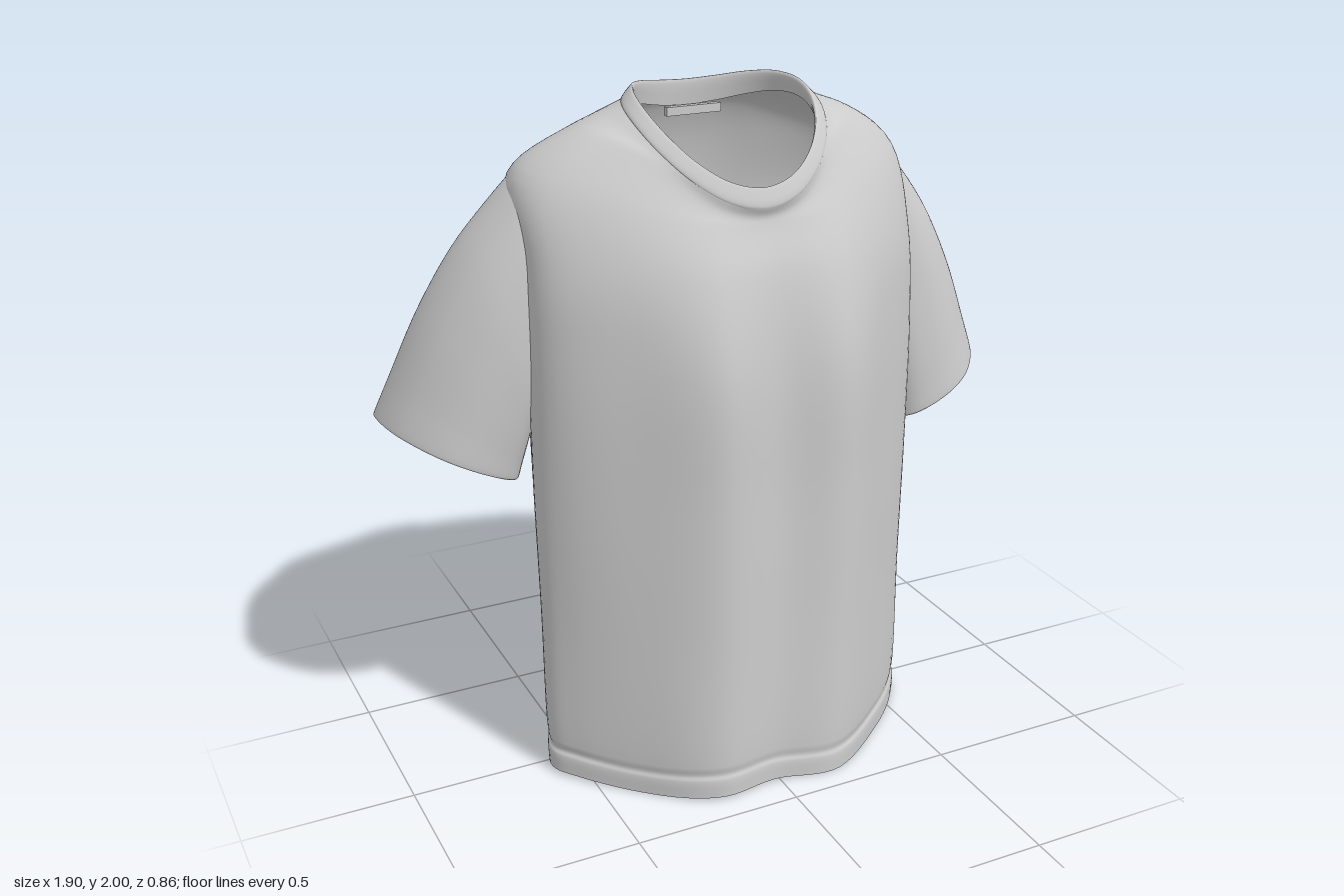
import * as THREE from 'three';

const V = (x, y, z) => new THREE.Vector3(x, y, z);
const fabric = new THREE.MeshStandardMaterial({ color: 0xcccccc, side: THREE.DoubleSide });

// Smooth skin through closed rings that all have the same number of points;
// faces whose first corner lies in the opening are left out
function loft(name, rings, around, perSpan, shape = (p) => p, opening = () => false) {
  const curves = rings.map((r) => new THREE.CatmullRomCurve3(r, true));
  const rows = (rings.length - 1) * perSpan + 1;
  const points = [];
  const index = [];
  for (let i = 0; i < around; i++) {
    const column = new THREE.CatmullRomCurve3(curves.map((c) => c.getPoint(i / around)));
    for (let j = 0; j < rows; j++) points[j * around + i] = shape(column.getPoint(j / (rows - 1)));
  }
  for (let j = 0; j < rows - 1; j++) {
    for (let i = 0; i < around; i++) {
      const a = j * around + i, b = j * around + (i + 1) % around;
      if (!opening(points[a])) index.push(a, b, b + around, a, b + around, a + around);
    }
  }
  const geo = new THREE.BufferGeometry().setFromPoints(points);
  geo.setIndex(index);
  geo.computeVertexNormals();
  const mesh = new THREE.Mesh(geo, fabric);
  mesh.name = name;
  return mesh;
}

// Half ring (front centre to back centre) mirrored into a full ring
function mirrorRing(half) {
  const other = half.slice(1, -1).reverse().map((p) => V(-p.x, p.y, p.z));
  return [...half, ...other];
}

// Torso outlines [x, z] and the shaped rings [x, y, z] above them
const hem = [[0, 0.4], [0.19, 0.425], [0.4, 0.275], [0.535, 0.145], [0.588, 0.055],
  [0.545, -0.08], [0.485, -0.21], [0.405, -0.325], [0.21, -0.362], [0, -0.342]];
const waist = [[0, 0.37], [0.19, 0.4], [0.4, 0.265], [0.555, 0.13], [0.59, 0.04],
  [0.56, -0.1], [0.52, -0.22], [0.455, -0.33], [0.215, -0.368], [0, -0.347]];
const chest = [[0, 0.325], [0.19, 0.335], [0.4, 0.235], [0.55, 0.11], [0.585, 0.02],
  [0.565, -0.12], [0.535, -0.24], [0.48, -0.335], [0.22, -0.365], [0, -0.345]];
const shoulder = [[0, 1.665, 0.275], [0.18, 1.685, 0.268], [0.38, 1.73, 0.175], [0.53, 1.765, 0.04],
  [0.57, 1.78, -0.05], [0.575, 1.78, -0.13], [0.545, 1.77, -0.21], [0.46, 1.76, -0.275],
  [0.22, 1.77, -0.305], [0, 1.78, -0.305]];
const yoke = [[0, 1.692, 0.268], [0.13, 1.72, 0.252], [0.27, 1.82, 0.165], [0.37, 1.89, 0.05],
  [0.4, 1.905, -0.04], [0.4, 1.9, -0.11], [0.37, 1.885, -0.18], [0.3, 1.875, -0.235],
  [0.17, 1.88, -0.26], [0, 1.885, -0.265]];

// Ring around the neck, pushed outward and lowered
function neckRing(out, drop) {
  const half = [];
  for (let i = 0; i < 10; i++) {
    const a = (i / 9) * Math.PI, z = 0.02 + 0.24 * Math.cos(a);
    const bend = 0.23 * ((z + 0.1) / 0.36) ** 2;
    const fall = drop * (1 - 0.3 * Math.sin(a) ** 2);
    half.push(V((0.25 + out) * Math.sin(a), 2 - bend - fall, z + out * 0.55 * Math.cos(a)));
  }
  return mirrorRing(half);
}

function makeBody() {
  // [height, scale] from hem to waist; the step near the bottom is the hem stitch
  const levels = [[0.01, 1], [0.065, 1], [0.08, 0.988], [0.11, 0.998], [0.5, 1], [0.9, 1.005], [1.3, 1]];
  const rings = levels.map(([y, s]) => hem.map(([x, z], i) => {
    const t = (y / 1.3) ** 1.2;
    return V(s * THREE.MathUtils.lerp(x, waist[i][0], t), y, s * THREE.MathUtils.lerp(z, waist[i][1], t));
  }));
  rings.push(chest.map(([x, z]) => V(x, 1.55, z)));
  rings.push(shoulder.map((p) => V(...p)), yoke.map((p) => V(...p)));
  // Soft hanging folds, strongest low down, and a slightly wavy hem
  const folds = (p) => {
    const fade = THREE.MathUtils.clamp((1.5 - p.y) / 1.2, 0, 1);
    p.z += 0.005 * fade * Math.sin(p.x * 17 + p.y * 2.2 + 0.6);
    if (p.y < 0.15) p.y += 0.006 * Math.sin(p.x * 9 + p.z * 7);
    return p;
  };
  // Holes in the sides where the sleeves join
  const armOpening = (p) => Math.abs(p.x) > 0.5 && ((p.y - 1.47) / 0.24) ** 2 + ((p.z + 0.13) / 0.11) ** 2 < 1;
  return loft('body', [...rings.map(mirrorRing), neckRing(0.034, 0.05)], 126, 6, folds, armOpening);
}

// Collar band: outer seam, rolled top edge, inner facing
function makeCollar() {
  return loft('collar', [neckRing(0.03, 0.06), neckRing(0.036, 0.048), neckRing(0.018, 0.016),
    neckRing(0.003, 0), neckRing(-0.002, 0.012), neckRing(0.01, 0.075)], 90, 4);
}

// Armhole [x, y, z] and cuff [x, z], both from the top round the front and back
const armhole = [[0.53, 1.815, -0.13], [0.53, 1.78, -0.03], [0.55, 1.68, 0.005], [0.565, 1.5, 0.025],
  [0.56, 1.3, 0.02], [0.54, 1.17, -0.05], [0.53, 1.17, -0.18], [0.51, 1.3, -0.26],
  [0.5, 1.5, -0.285], [0.5, 1.68, -0.275], [0.52, 1.775, -0.215]];
const cuff = [[0.95, -0.21], [0.925, -0.085], [0.84, 0.025], [0.75, 0.06], [0.64, 0.04],
  [0.59, -0.05], [0.59, -0.17], [0.635, -0.315], [0.74, -0.36], [0.85, -0.335], [0.935, -0.28]];

function makeSleeve(name, side, shift) {
  const top = armhole.map(([x, y, z]) => V(x, y, z));
  const end = cuff.map(([x, z]) => V(x, 0.905 + 0.486 * (x - 0.59), z + shift));
  const cuffCentre = V(0.77, 0.99, -0.15 + shift);
  // Ring between armhole and cuff, bulged along the outer side of the arm
  const between = (t, bulge) => top.map((p, i) => {
    const q = p.clone().lerp(end[i], t);
    const d = q.clone().sub(V(0.54, 1.48, -0.13).lerp(cuffCentre, t)).normalize();
    const outer = Math.max(0, d.x * 0.7 + d.y * 0.7) * bulge;
    return q.add(V(outer * 0.8, outer * 0.55, d.z * bulge * 0.2));
  });
  // Cuff edge folded to the inside
  const inner = end.map((p) => p.clone().lerp(cuffCentre, 0.05).add(V(-0.015, 0.05, 0)));
  const rings = [top, between(0.15, 0.035), between(0.35, 0.06), between(0.6, 0.05),
    between(0.85, 0.02), end, inner];
  return loft(name, rings.map((r) => r.map((p) => V(p.x * side, p.y, p.z))), 77, 6);
}

export function createModel() {
  const shirt = new THREE.Group();
  shirt.name = 'shirt';
  shirt.add(makeBody(), makeCollar());
  shirt.add(makeSleeve('leftSleeve', 1, 0), makeSleeve('rightSleeve', -1, -0.075));

  // Small blank label inside the back of the neck
  const label = new THREE.Mesh(new THREE.BoxGeometry(0.17, 0.025, 0.02), fabric);
  label.name = 'neckLabel';
  label.position.set(0.01, 1.89, -0.205);
  shirt.add(label);
  return shirt;
}
